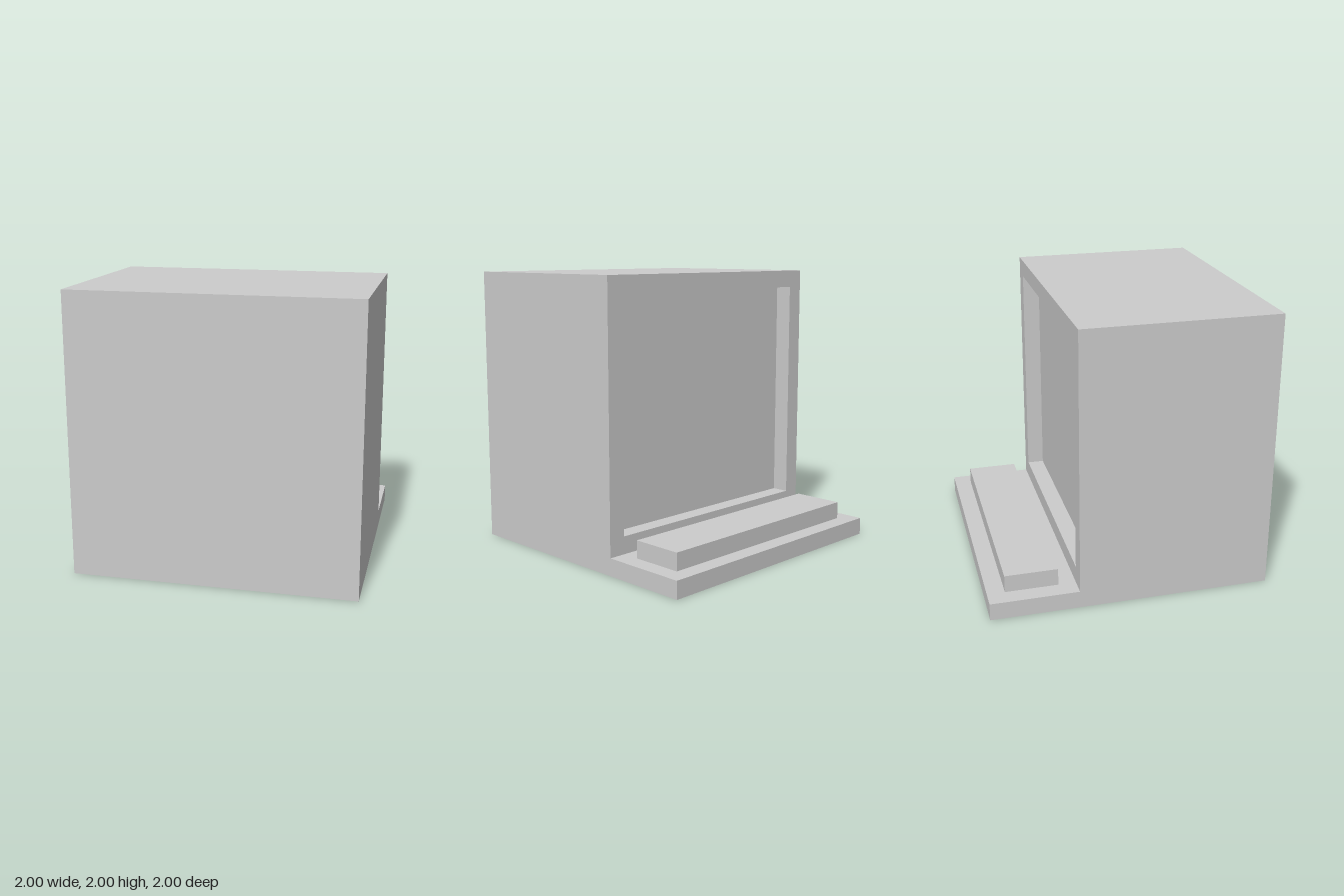
import * as THREE from 'three';

const material = new THREE.MeshStandardMaterial({ color: 0xcccccc, flatShading: true });

// Box given by its min and max corners
function block(name, [x0, y0, z0], [x1, y1, z1]) {
  const mesh = new THREE.Mesh(new THREE.BoxGeometry(x1 - x0, y1 - y0, z1 - z0), material);
  mesh.position.set((x0 + x1) / 2, (y0 + y1) / 2, (z0 + z1) / 2);
  mesh.name = name;
  return mesh;
}

function rectangle(PathType, x0, y0, x1, y1) {
  return new PathType([[x0, y0], [x1, y0], [x1, y1], [x0, y1]].map(([x, y]) => new THREE.Vector2(x, y)));
}

export function createModel() {
  const model = new THREE.Group();
  model.name = 'desktopComputer';

  // Base slab, running out behind the housing as a shelf
  model.add(block('base', [-1, 0, -1], [1, 0.125, 1]));

  // Housing; its back face is the recessed screen
  model.add(block('housing', [-1, 0.125, -0.25], [1, 2, 1]));

  // Frame around the recessed screen
  const outline = rectangle(THREE.Shape, -1, 0.125, 1, 2);
  outline.holes.push(rectangle(THREE.Path, -0.875, 0.25, 0.875, 1.875));
  const frame = new THREE.Mesh(
    new THREE.ExtrudeGeometry(outline, { depth: 0.125, bevelEnabled: false }),
    material
  );
  frame.position.z = -0.375;
  frame.name = 'screenFrame';
  model.add(frame);

  // Raised keyboard block on the shelf
  model.add(block('keyboard', [-0.875, 0.125, -0.875], [0.875, 0.25, -0.5]));

  return model;
}
